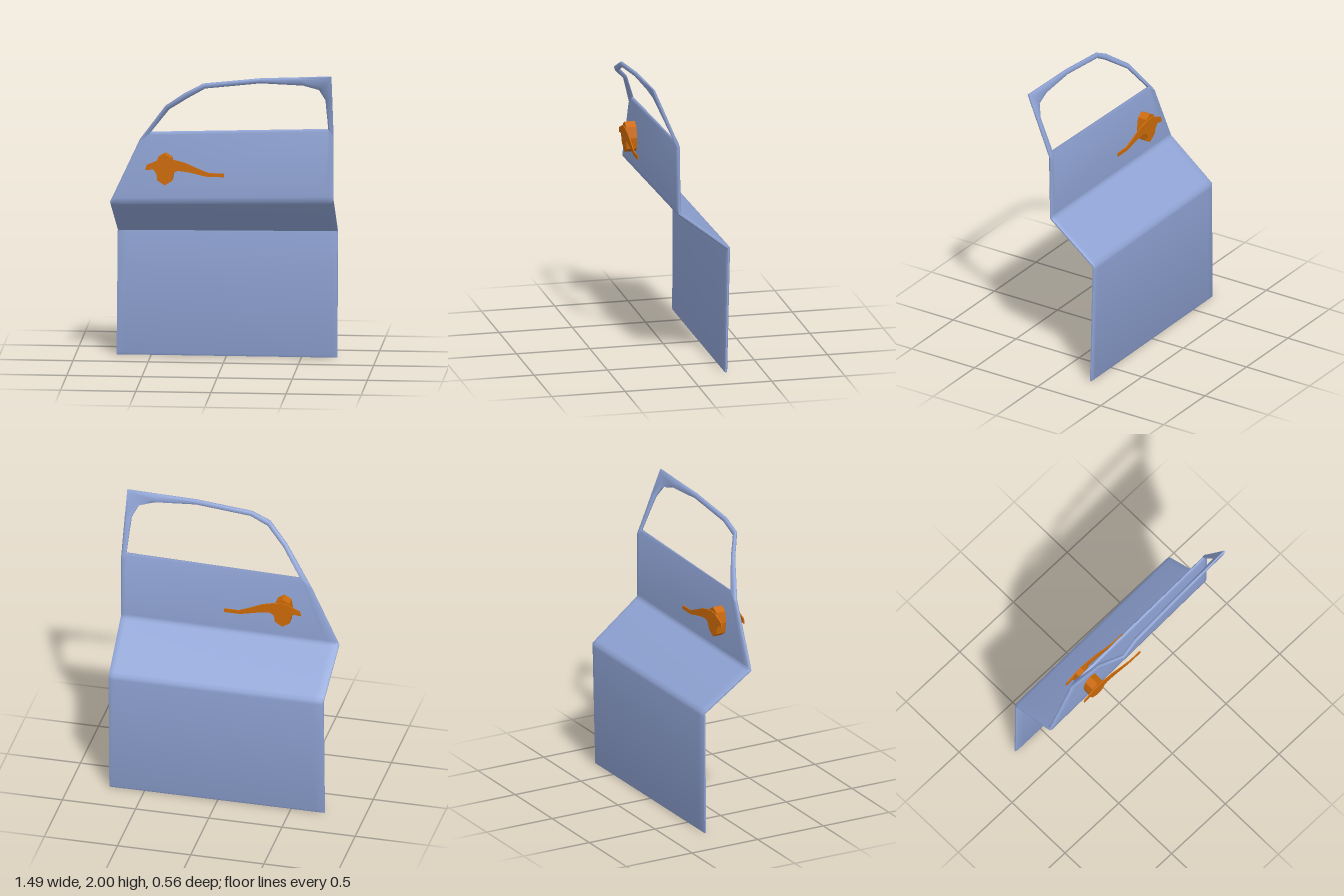
import * as THREE from 'three';
import { toCreasedNormals } from 'three/addons/utils/BufferGeometryUtils.js';

const V = (x, y, z) => new THREE.Vector3(x, y, z);
const mix = (a, b, t) => a.clone().lerp(b, t);

// Thickens a sheet made of grids of points; open edges taper to a thin rim.
function thickSheet(grids, half, rim) {
  const pts = [], ids = new Map(), quads = [];
  const id = (p) => {
    const key = p.toArray().map((n) => Math.round(n * 1e4)).join();
    if (!ids.has(key)) { ids.set(key, pts.length); pts.push(p); }
    return ids.get(key);
  };
  for (const g of grids) {
    for (let r = 0; r < g.length - 1; r++) {
      for (let c = 0; c < g[r].length - 1; c++) {
        quads.push([g[r][c], g[r][c + 1], g[r + 1][c + 1], g[r + 1][c]].map(id));
      }
    }
  }
  // Average normals and directed edges
  const normals = pts.map(() => V(0, 0, 0)), edges = new Set();
  for (const q of quads) {
    const n = mix(pts[q[2]], pts[q[0]], 0).sub(pts[q[0]])
      .cross(pts[q[3]].clone().sub(pts[q[1]])).normalize();
    q.forEach((a, i) => { normals[a].add(n); edges.add(a + '_' + q[(i + 1) % 4]); });
  }
  const open = [...edges].map((e) => e.split('_').map(Number))
    .filter(([a, b]) => !edges.has(b + '_' + a));
  const onRim = new Set(open.flat());
  const side = (s) => pts.map((p, i) => p.clone()
    .addScaledVector(normals[i].clone().normalize(), s * (onRim.has(i) ? rim : half)));
  const front = side(1), back = side(-1), out = [];
  const quad = (a, b, c, d) => [a, b, c, a, c, d].forEach((p) => out.push(p.x, p.y, p.z));
  for (const [a, b, c, d] of quads) {
    quad(front[a], front[b], front[c], front[d]);
    quad(back[d], back[c], back[b], back[a]);
  }
  for (const [a, b] of open) quad(back[a], back[b], front[b], front[a]);
  const geo = new THREE.BufferGeometry();
  geo.setAttribute('position', new THREE.Float32BufferAttribute(out, 3));
  return toCreasedNormals(geo, Math.PI / 3);
}

// Flat outline in x, y with a depth along z
function plate(outline, z0, z1) {
  const shape = new THREE.Shape(outline.map(([x, y]) => new THREE.Vector2(x, y)));
  return new THREE.ExtrudeGeometry(shape, { depth: z1 - z0, bevelEnabled: false }).translate(0, 0, z0);
}

export function createModel() {
  const model = new THREE.Group();
  const paint = new THREE.MeshStandardMaterial({ color: 0x8fa3d4 });
  paint.name = 'bluePaint';
  const orange = new THREE.MeshStandardMaterial({ color: 0xcc6a08 });
  orange.name = 'orangeHandle';
  const add = (name, geo, mat) => {
    const mesh = new THREE.Mesh(geo, mat);
    mesh.name = name;
    model.add(mesh);
  };

  // Window frame: outer and inner edge at each station, left sill to right sill
  const stations = [
    [[-0.55, 1.52, 0.095], [-0.475, 1.577, 0.095]],
    [[-0.37, 1.77, 0.18], [-0.345, 1.75, 0.17]],
    [[-0.23, 1.88, 0.272], [-0.215, 1.845, 0.262]],
    [[-0.11, 1.942, 0.262], [-0.10, 1.91, 0.253]],
    [[0.27, 1.982, 0.256], [0.27, 1.95, 0.245]],
    [[0.52, 1.991, 0.25], [0.55, 1.936, 0.23]],
    [[0.74, 2.0, 0.246], [0.655, 1.905, 0.215]],
    [[0.74, 1.83, 0.176], [0.695, 1.83, 0.182]],
    [[0.74, 1.57, 0.07], [0.705, 1.612, 0.08]],
  ];
  const frame = stations.map(([o, i]) => [0, 0.22, 0.78, 1].map((t) => mix(V(...o), V(...i), t)));

  // Body rows from bottom to sill, with close rows softening each fold
  const columns = [0, 0.009, 0.045, 0.06, 0.965, 0.975, 0.991, 1];
  const row = (l, r) => columns.map((t) => mix(V(...l), V(...r), t));
  const between = (a, b, t) => a.map((p, i) => mix(p, b[i], t));
  const base = row([-0.73, 0.002, -0.245], [0.74, 0.002, -0.25]);
  const lowFold = row([-0.722, 0.85, -0.247], [0.74, 0.86, -0.27]);
  const highFold = row([-0.745, 1.1, 0.092], [0.74, 1.125, 0.068]);
  const sill = [...frame[0], ...frame[frame.length - 1].slice().reverse()];
  const body = [
    base, between(base, lowFold, 0.018), between(base, lowFold, 0.975), lowFold,
    between(lowFold, highFold, 0.06), between(lowFold, highFold, 0.94), highFold,
    between(highFold, sill, 0.06), between(highFold, sill, 0.965), sill,
  ];
  add('doorPanel', thickSheet([body, frame], 0.012, 0.005), paint);

  // Handle: a post through the panel with a lever on each side
  const lever = [
    [-0.505, 1.335], [-0.45, 1.34], [-0.43, 1.31], [-0.42, 1.28], [-0.37, 1.263],
    [-0.335, 1.28], [-0.315, 1.32], [-0.29, 1.333], [-0.22, 1.325], [-0.09, 1.295],
    [0.02, 1.295], [0.02, 1.32], [-0.08, 1.32], [-0.16, 1.352], [-0.24, 1.388],
    [-0.31, 1.405], [-0.375, 1.412], [-0.42, 1.405], [-0.44, 1.393], [-0.495, 1.37],
  ];
  const post = [
    [-0.375, 1.232], [-0.325, 1.264], [-0.315, 1.34], [-0.33, 1.415],
    [-0.375, 1.442], [-0.422, 1.415], [-0.436, 1.34], [-0.424, 1.264],
  ];
  add('handlePost', plate(post, 0.012, 0.174), orange);
  add('outerLever', plate(lever, 0.174, 0.181), orange);
  add('innerLever', plate(lever, 0.004, 0.012), orange);
  return model;
}
